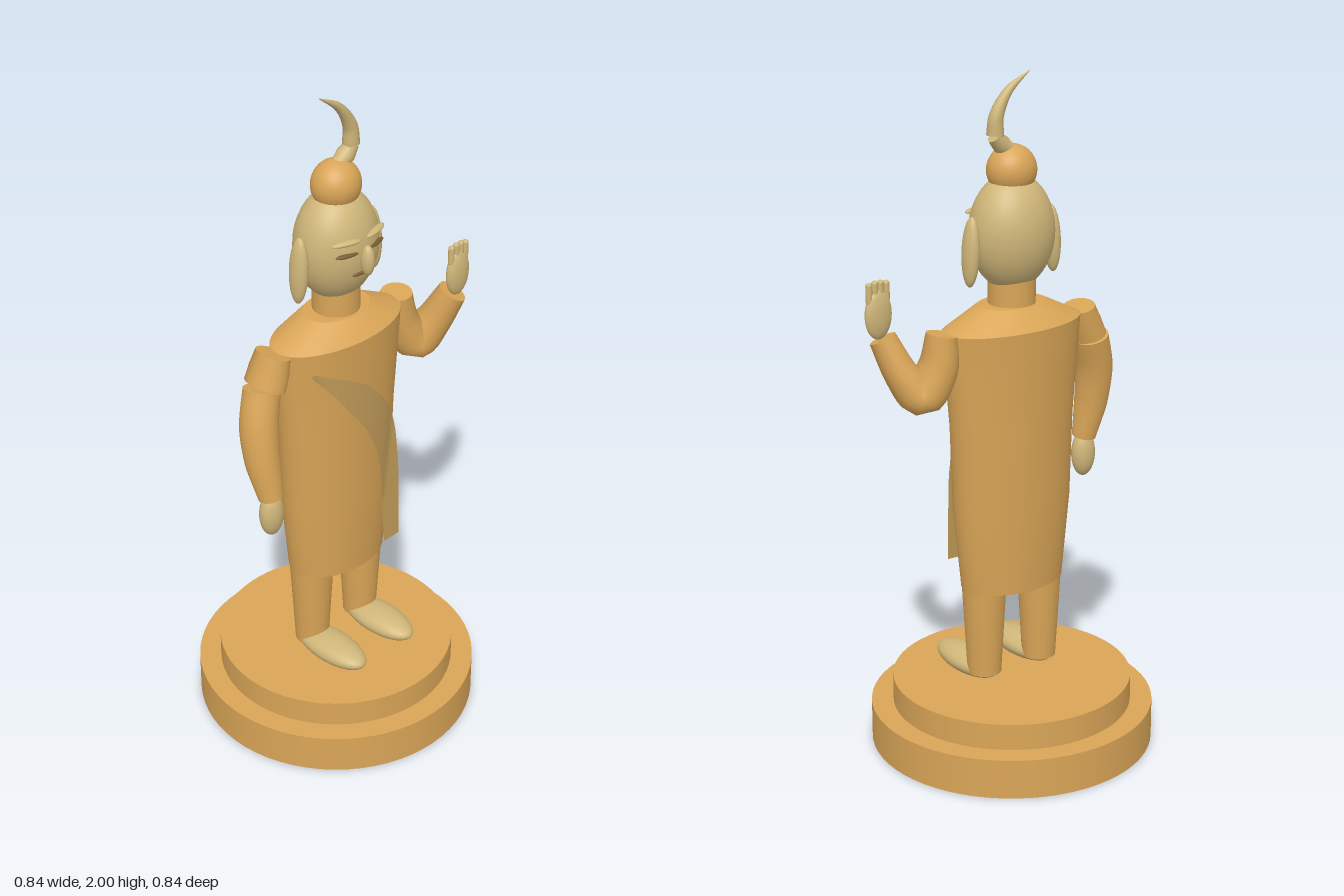
import * as THREE from 'three';
import { mergeGeometries } from 'three/addons/utils/BufferGeometryUtils.js';

const mat = (name, color, side = THREE.FrontSide) => {
  const m = new THREE.MeshStandardMaterial({ color, side });
  m.name = name;
  return m;
};
const V = (x, y, z) => new THREE.Vector3(x, y, z);

// robe rows: height, half width, half depth
const ROBE = [[0.5, 0.165, 0.108], [0.75, 0.192, 0.118], [1.0, 0.2, 0.122], [1.29, 0.228, 0.12], [1.35, 0.108, 0.078]];

function robeSize(y) {
  for (let i = 1; i < ROBE.length; i++) {
    const [a, b] = [ROBE[i - 1], ROBE[i]];
    if (y <= b[0]) {
      const t = (y - a[0]) / (b[0] - a[0]);
      return [a[1] + (b[1] - a[1]) * t, a[2] + (b[2] - a[2]) * t];
    }
  }
  return [0.108, 0.078];
}

// lathe whose rows are squashed to ellipses
function ellipticLathe(rows) {
  const g = new THREE.LatheGeometry(rows.map(r => new THREE.Vector2(r[1], r[0])), 48);
  const p = g.attributes.position, n = g.attributes.normal;
  for (let i = 0; i < p.count; i++) {
    const r = rows[i % rows.length];
    const k = r[1] > 0 ? r[2] / r[1] : 1;
    p.setZ(i, p.getZ(i) * k);
    const v = V(n.getX(i), n.getY(i), n.getZ(i) / k).normalize();
    n.setXYZ(i, v.x, v.y, v.z);
  }
  return g;
}

// capped tube with a radius that changes along a curve, widened in z by depth
function taperTube(points, radii, depth = 1) {
  const curve = new THREE.CatmullRomCurve3(points), N = 28, S = 20;
  const g = new THREE.TubeGeometry(curve, N, 1, S);
  const p = g.attributes.position;
  const radius = t => {
    const f = t * (radii.length - 1), i = Math.min(Math.floor(f), radii.length - 2);
    return radii[i] + (radii[i + 1] - radii[i]) * (f - i);
  };
  for (let i = 0; i <= N; i++) {
    const c = curve.getPointAt(i / N), r = radius(i / N);
    for (let j = 0; j <= S; j++) {
      const k = i * (S + 1) + j;
      p.setXYZ(k, c.x + (p.getX(k) - c.x) * r, c.y + (p.getY(k) - c.y) * r, c.z + (p.getZ(k) - c.z) * r * depth);
    }
  }
  const caps = [0, 1].map(t => {
    const c = curve.getPointAt(t), dir = curve.getTangentAt(t).multiplyScalar(t ? 1 : -1);
    const cap = new THREE.CircleGeometry(radius(t), S);
    cap.applyQuaternion(new THREE.Quaternion().setFromUnitVectors(V(0, 0, 1), dir));
    return cap.scale(1, 1, depth).translate(c.x, c.y, c.z);
  });
  return mergeGeometries([g, ...caps]);
}

// ribbon that follows the front of the robe
function sashGeometry() {
  const path = new THREE.CatmullRomCurve3([
    V(-0.18, 1.235, 0), V(-0.04, 1.12, 0), V(0.065, 0.98, 0), V(0.1, 0.85, 0), V(0.11, 0.7, 0), V(0.114, 0.555, 0)]);
  const widths = [0.004, 0.045, 0.055, 0.042, 0.036, 0.031], N = 40, M = 8, pos = [], idx = [];
  for (let i = 0; i <= N; i++) {
    const t = i / N, c = path.getPoint(t), d = path.getTangent(t);
    const f = t * 5, k = Math.min(Math.floor(f), 4), w = widths[k] + (widths[k + 1] - widths[k]) * (f - k);
    for (let j = 0; j <= M; j++) {
      const s = (j / M * 2 - 1) * w, x = c.x - d.y * s, y = c.y + d.x * s;
      const [rx, rz] = robeSize(y);
      const z = rz * Math.sqrt(Math.max(0, 1 - (x / rx) ** 2)) + 0.009;
      pos.push(x, y, Math.max(z, 0.095 + 0.025 * t));
      if (i < N && j < M) {
        const a = i * (M + 1) + j, b = a + M + 1;
        idx.push(a, b, a + 1, b, b + 1, a + 1);
      }
    }
  }
  const g = new THREE.BufferGeometry();
  g.setAttribute('position', new THREE.Float32BufferAttribute(pos, 3));
  g.setIndex(idx);
  g.computeVertexNormals();
  return g;
}

export function createModel() {
  const model = new THREE.Group();
  model.name = 'standingStatue';
  const gold = mat('gold', 0xd9a557);
  const skin = mat('paleGold', 0xcfb679);
  const cloth = mat('sashGold', 0xbf9a58, THREE.DoubleSide);
  const dark = mat('darkBronze', 0x7a5c30);

  const add = (name, geo, material, x = 0, y = 0, z = 0) => {
    const m = new THREE.Mesh(geo, material);
    m.name = name;
    m.position.set(x, y, z);
    model.add(m);
    return m;
  };
  const ball = (name, material, [x, y, z], [rx, ry, rz]) =>
    add(name, new THREE.SphereGeometry(1, 32, 20).scale(rx, ry, rz), material, x, y, z);

  // stepped pedestal
  add('lowerPlinth', new THREE.CylinderGeometry(0.42, 0.42, 0.12, 64), gold, 0, 0.06, 0);
  add('upperPlinth', new THREE.CylinderGeometry(0.355, 0.355, 0.08, 64), gold, 0, 0.16, 0);

  // robe, shoulders and flat ends
  const top = ROBE[4], hem = ROBE[0];
  add('robe', mergeGeometries([
    ellipticLathe([[hem[0], 0, 0], hem]),
    ellipticLathe(ROBE.slice(0, 4)),
    ellipticLathe(ROBE.slice(3)),
    ellipticLathe([top, [top[0], 0, 0]])]), gold);
  add('sash', sashGeometry(), cloth);

  // legs and feet
  for (const s of [-1, 1]) {
    add('leg', new THREE.CylinderGeometry(0.068, 0.05, 0.32, 28), gold, s * 0.1, 0.39, 0);
    ball('foot', skin, [s * 0.1, 0.237, 0.085], [0.061, 0.037, 0.136]);
  }

  // lowered right arm: short sleeve, arm and hand
  add('rightSleeve', taperTube([V(-0.24, 1.295, 0), V(-0.255, 1.25, 0), V(-0.272, 1.205, 0)], [0.042, 0.048, 0.05], 1.35), gold);
  add('rightArm', taperTube([V(-0.283, 1.2, 0), V(-0.31, 1.1, 0.015), V(-0.315, 1.0, 0.03), V(-0.303, 0.87, 0.05)],
    [0.054, 0.056, 0.05, 0.036]), gold);
  ball('rightHand', skin, [-0.303, 0.815, 0.052], [0.038, 0.072, 0.032]);

  // raised left arm with open hand
  add('leftArm', taperTube([V(0.24, 1.297, 0), V(0.255, 1.2, 0), V(0.298, 1.125, 0.018), V(0.338, 1.18, 0.05), V(0.374, 1.285, 0.095)],
    [0.042, 0.054, 0.058, 0.046, 0.038], 1.2), gold);
  ball('leftPalm', skin, [0.378, 1.352, 0.108], [0.043, 0.072, 0.02]);
  for (let i = 0; i < 4; i++) {
    const h = i === 0 || i === 3 ? 0.045 : 0.052;
    add('finger', new THREE.CapsuleGeometry(0.0095, h, 6, 12), skin, 0.35 + i * 0.019, 1.415, 0.108);
  }

  // neck, head and ears
  add('neck', new THREE.CylinderGeometry(0.068, 0.068, 0.1, 32), gold, 0, 1.385, 0);
  ball('head', skin, [0, 1.555, 0], [0.128, 0.168, 0.111]);
  for (const s of [-1, 1]) {
    ball('ear', skin, [s * 0.14, 1.515, 0], [0.023, 0.1, 0.031]).rotation.z = s * 0.05;
    ball('brow', skin, [s * 0.055, 1.605, 0.097], [0.045, 0.008, 0.013]).rotation.y = s * 0.3;
    ball('closedEye', dark, [s * 0.055, 1.568, 0.1], [0.036, 0.006, 0.009]).rotation.y = s * 0.25;
  }
  ball('nose', skin, [0, 1.543, 0.124], [0.019, 0.046, 0.021]);
  ball('mouth', dark, [0, 1.499, 0.103], [0.036, 0.006, 0.008]);

  // topknot and curling flame finial
  ball('topknot', gold, [0, 1.73, 0], [0.073, 0.073, 0.068]);
  add('finialBase', taperTube([V(0.005, 1.785, 0), V(0.035, 1.805, 0), V(0.06, 1.83, 0)], [0.02, 0.027, 0.02]), skin);
  add('finialFlame', taperTube([V(0.056, 1.832, 0), V(0.052, 1.885, 0), V(0.012, 1.95, 0), V(-0.062, 2.0, 0)],
    [0.025, 0.019, 0.011, 0.001]), skin);

  return model;
}
